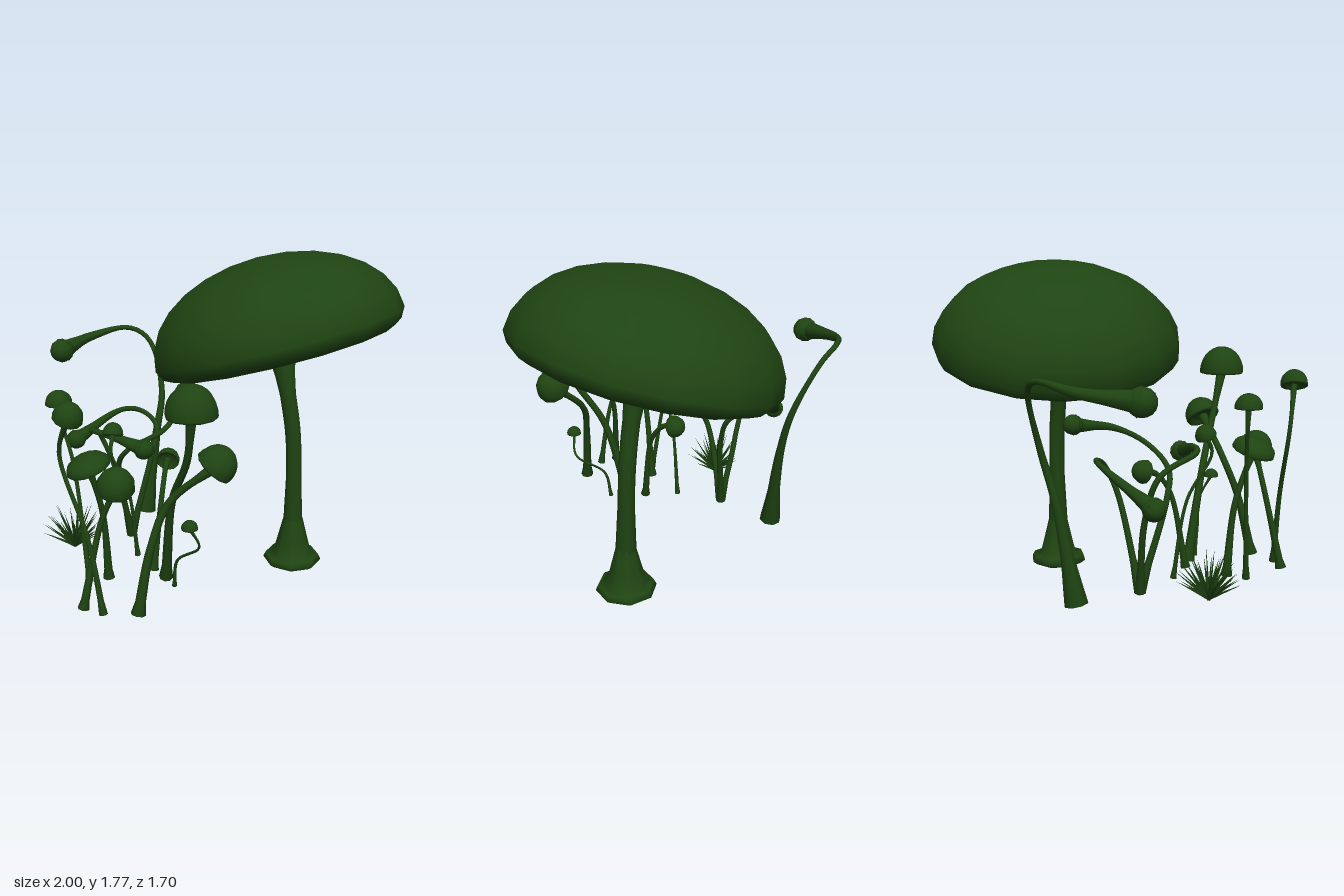
import * as THREE from 'three';

const V = (p) => new THREE.Vector3(...p);
const UP = [0, 1, 0];
const GROUND = 0.11;
const green = new THREE.MeshStandardMaterial({ color: 0x1f4412, side: THREE.DoubleSide });

function add(parent, name, geometry, position = [0, 0, 0], axis = UP) {
  const mesh = new THREE.Mesh(geometry, green);
  mesh.name = name;
  mesh.position.set(...position);
  mesh.quaternion.setFromUnitVectors(V(UP), V(axis).normalize());
  parent.add(mesh);
}

// Tube along a smooth path; radii is a list of [fraction of length, radius]
function stemGeometry(path, radii, rings = 28, sides = 8) {
  const curve = new THREE.CatmullRomCurve3(path.map(V));
  const geo = new THREE.TubeGeometry(curve, rings, 1, sides);
  const radiusAt = (u) => {
    const k = Math.max(1, radii.findIndex(([t]) => t >= u));
    const [[t0, r0], [t1, r1]] = [radii[k - 1], radii[k]];
    return r0 + (r1 - r0) * (u - t0) / (t1 - t0);
  };
  const pos = geo.attributes.position, v = new THREE.Vector3();
  for (let i = 0; i <= rings; i++) {
    // the first two rings share a centre, which closes the foot
    const u = i <= 1 ? 0 : i / rings;
    const centre = curve.getPointAt(i / rings), target = curve.getPointAt(u);
    const r = i === 0 ? 0 : radiusAt(u);
    for (let j = 0; j <= sides; j++) {
      const n = i * (sides + 1) + j;
      v.fromBufferAttribute(pos, n).sub(centre).multiplyScalar(r).add(target);
      pos.setXYZ(n, v.x, v.y, v.z);
    }
  }
  return geo;
}

// Domed cap with a hollow, lipped underside; the rim lies at y = 0
function capGeometry(r, h, underside, sides) {
  const points = underside.map(([x, y]) => new THREE.Vector2(x * r, y * r));
  for (let i = 0; i <= 7; i++) {
    const a = (i / 7) * Math.PI / 2;
    points.push(new THREE.Vector2(i === 7 ? 0 : r * Math.cos(a), h * Math.sin(a)));
  }
  return new THREE.LatheGeometry(points, sides);
}
const SMALL_UNDER = [[0, 0.2], [0.5, 0.2], [0.75, 0.02], [0.88, -0.1], [0.97, -0.08]];
const BIG_UNDER = [[0, 0.02], [0.46, 0.02], [0.54, 0.1], [0.68, 0.12], [0.75, 0], [0.88, -0.12], [0.96, -0.08]];

function bigMushroom() {
  const g = new THREE.Group();
  g.name = 'bigMushroom';
  add(g, 'bigCap', capGeometry(0.69, 0.44, BIG_UNDER, 16), [0.345, 1.305, -0.16], [-0.28, 1, -0.11]);
  // foot disc and the swelling above it
  const foot = [[0, 0], [0.14, 0], [0.165, 0.02], [0.15, 0.05], [0.11, 0.055], [0.085, 0.15], [0.055, 0.27], [0.04, 0.3]];
  add(g, 'bigFoot', new THREE.LatheGeometry(foot.map((p) => new THREE.Vector2(...p)), 8), [0.463, 0, -0.11]);
  add(g, 'bigStem', stemGeometry(
    [[0.463, 0.2, -0.11], [0.45, 0.75, -0.12], [0.41, 1.02, -0.125], [0.355, 1.33, -0.15]],
    [[0, 0.058], [0.3, 0.044], [0.7, 0.045], [0.82, 0.058], [0.9, 0.085], [1, 0.17]], 30, 10));
  return g;
}

// One small mushroom: radii of stem and cap, foot (x, z), bends of the stem, cap centre, tilt, dome ratio
function smallMushroom(stem, r, [x, z], bends, top, axis = UP, dome = 1.15) {
  const g = new THREE.Group();
  g.name = 'smallMushroom';
  add(g, 'stem', stemGeometry([[x, GROUND, z], ...bends, top],
    [[0, stem * 1.9], [0.05, stem * 1.35], [0.4, stem], [0.85, stem * 0.9], [1, stem * 1.4]]));
  // cover the end of the stem inside the hollow cap
  add(g, 'cap', capGeometry(r, r * dome, SMALL_UNDER, 12), top, axis);
  return g;
}

function smallMushrooms() {
  const g = new THREE.Group();
  g.name = 'smallMushrooms';
  g.add(
    smallMushroom(0.02, 0.125, [-0.19, 0.37], [[-0.13, 0.6, 0.5], [-0.03, 0.88, 0.64]], [0.005, 1.135, 0.725]),
    smallMushroom(0.02, 0.1, [-0.26, 0.76], [[-0.2, 0.45, 0.7], [-0.12, 0.66, 0.65]], [0.105, 0.865, 0.67], [0.65, 0.75, 0]),
    smallMushroom(0.011, 0.07, [-0.58, 0.47], [[-0.66, 0.75, 0.39], [-0.725, 0.95, 0.34]], [-0.735, 1.042, 0.335], UP, 1),
    smallMushroom(0.012, 0.073, [-0.43, 0.78], [[-0.5, 0.5, 0.75], [-0.635, 0.9, 0.69]], [-0.56, 1.11, 0.775], [0.35, 0.9, 0.25]),
    smallMushroom(0.016, 0.095, [-0.54, 0.74], [[-0.45, 0.55, 0.68]], [-0.37, 0.74, 0.68], [0.15, 0.85, 0.35]),
    smallMushroom(0.017, 0.115, [-0.49, 0.41], [[-0.5, 0.5, 0.45]], [-0.54, 0.78, 0.53], [-0.3, 1, 0.15], 0.6),
    smallMushroom(0.007, 0.042, [-0.13, 0.46], [[-0.11, 0.27, 0.49], [0.02, 0.41, 0.6]], [-0.02, 0.53, 0.645], UP, 1),
    smallMushroom(0.015, 0.065, [-0.27, 0.3], [[-0.23, 0.53, 0.22], [-0.225, 0.64, 0.13]], [-0.225, 0.655, 0.065], [0, 0.3, -0.95]),
    smallMushroom(0.009, 0.056, [-0.39, 0.14], [[-0.42, 0.53, 0.2], [-0.48, 0.78, 0.31]], [-0.475, 0.865, 0.275], [0, 0.9, -0.4]),
  );
  return g;
}

// Curling stalk that swells towards a round bulb at the tip
function curledStalk(foot, bulb, [x, z], ...bends) {
  const g = new THREE.Group();
  g.name = 'curledStalk';
  const path = [[x, GROUND, z], ...bends];
  add(g, 'stalk', stemGeometry(path, [[0, foot], [0.12, foot * 0.6], [0.3, Math.max(0.016, foot * 0.38)], [0.55, 0.014],
    [0.75, 0.015], [0.9, bulb * 0.45], [1, bulb * 0.8]], 44));
  const tip = V(path.at(-1));
  const dir = tip.clone().sub(V(path.at(-2))).normalize();
  add(g, 'bulb', new THREE.SphereGeometry(bulb, 10, 8), tip.toArray(), dir.toArray());
  // collar where the stalk meets the bulb
  const collar = new THREE.CylinderGeometry(bulb * 1.02, bulb * 0.8, bulb * 0.3, 10);
  add(g, 'collar', collar, tip.addScaledVector(dir, -bulb * 0.3).toArray(), dir.toArray());
  return g;
}

function curledStalks() {
  const g = new THREE.Group();
  g.name = 'curledStalks';
  const root = [-0.48, -0.12];
  g.add(
    curledStalk(0.062, 0.07, [-0.465, -0.47], [-0.4, 0.6, -0.54], [-0.375, 0.87, -0.61], [-0.47, 1.15, -0.71],
      [-0.6, 1.215, -0.73], [-0.8, 1.18, -0.63], [-0.925, 1.14, -0.39]),
    // three stalks sharing one root
    curledStalk(0.03, 0.057, root, [-0.36, 0.6, -0.18], [-0.34, 0.74, -0.24], [-0.45, 0.8, -0.35],
      [-0.58, 0.79, -0.385], [-0.83, 0.635, -0.265]),
    curledStalk(0.03, 0.055, root, [-0.57, 0.5, -0.15], [-0.65, 0.73, -0.12], [-0.63, 0.82, 0.1],
      [-0.5, 0.82, 0.18], [-0.325, 0.77, 0.22]),
    curledStalk(0.03, 0.053, root, [-0.51, 0.6, 0.02], [-0.44, 0.71, 0.07], [-0.25, 0.82, 0.05],
      [-0.19, 0.9, -0.1], [-0.19, 0.935, -0.34]),
  );
  return g;
}

// Tuft of narrow pointed blades, fanned by the golden angle
function grassTuft() {
  const g = new THREE.Group();
  g.name = 'grassTuft';
  const count = 48;
  for (let i = 0; i < count; i++) {
    const angle = i * 2.39996, lean = 0.12 + 0.95 * Math.sqrt(i / count);
    const length = 0.25 - 0.08 * (i / count) + 0.025 * Math.sin(i * 5.3);
    const blade = new THREE.ConeGeometry(0.011, length, 3).translate(0, length / 2, 0);
    add(g, 'blade', blade, [-0.76, 0.125, 0.1],
      [Math.cos(angle) * Math.sin(lean), Math.cos(lean), Math.sin(angle) * Math.sin(lean)]);
  }
  return g;
}

export function createModel() {
  const model = new THREE.Group();
  model.name = 'mushroomCluster';
  model.add(bigMushroom(), smallMushrooms(), curledStalks(), grassTuft());
  return model;
}
